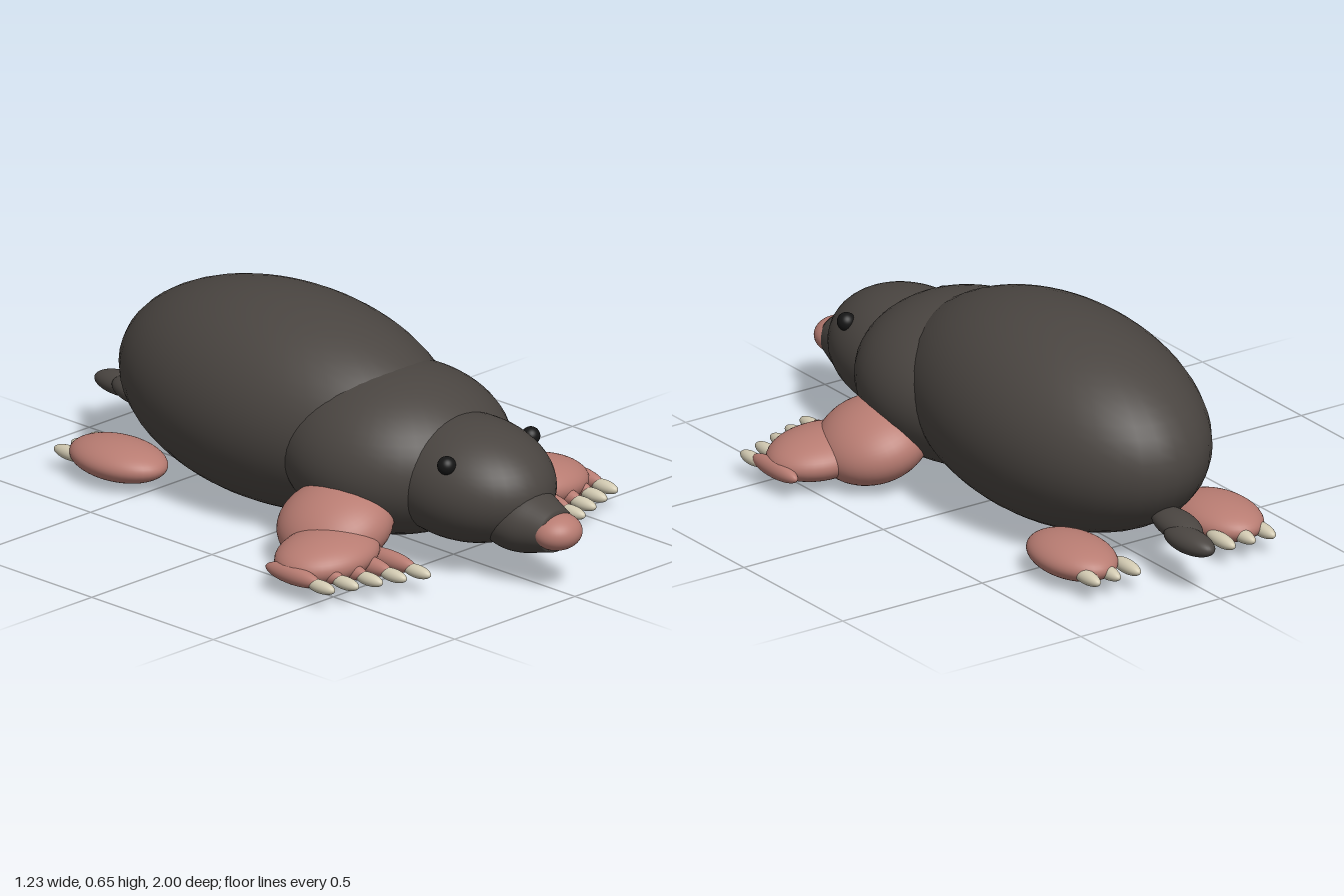
import * as THREE from 'three';

const material = (color) => new THREE.MeshStandardMaterial({ color });

export function createModel() {
  const model = new THREE.Group();
  const fur = material(0x4a4541);
  const skin = material(0xb87c72);
  const claw = material(0xd2cab2);
  const black = material(0x151515);

  // Smooth ellipsoid with centre, radii and optional rotation
  function ellipsoid(name, mat, pos, radii, rot = [0, 0, 0], parent = model) {
    const mesh = new THREE.Mesh(new THREE.SphereGeometry(1, 40, 28), mat);
    mesh.name = name;
    mesh.position.set(...pos);
    mesh.scale.set(...radii);
    mesh.rotation.set(...rot);
    parent.add(mesh);
    return mesh;
  }

  // Torso and head
  ellipsoid('body', fur, [0, 0.33, -0.18], [0.347, 0.325, 0.61]);
  ellipsoid('shoulders', fur, [0, 0.285, 0.26], [0.335, 0.25, 0.36]);
  ellipsoid('head', fur, [0, 0.265, 0.56], [0.22, 0.185, 0.295]);

  // Tapering snout, turned along z
  const profile = [[0, -0.14], [0.1, -0.12], [0.113, -0.05], [0.108, 0.01], [0.088, 0.07], [0.07, 0.12], [0, 0.13]];
  const curve = new THREE.SplineCurve(profile.slice(1, 6).map(([r, h]) => new THREE.Vector2(r, h)));
  const outline = [new THREE.Vector2(...profile[0]), ...curve.getPoints(16), new THREE.Vector2(...profile[6])];
  const snout = new THREE.Mesh(new THREE.LatheGeometry(outline, 40), fur);
  snout.name = 'snout';
  snout.position.set(0, 0.195, 0.81);
  snout.rotation.x = Math.PI / 2 + 0.05;
  snout.scale.z = 0.9;
  model.add(snout);
  ellipsoid('nose', skin, [0, 0.19, 0.925], [0.077, 0.055, 0.075]);

  // Tail in two overlapping lobes, bent to the left
  ellipsoid('tailBase', fur, [0.005, 0.17, -0.79], [0.055, 0.04, 0.12], [0, -0.1, 0]);
  ellipsoid('tailTip', fur, [0.036, 0.16, -0.895], [0.045, 0.037, 0.105], [0, 0.08, 0]);

  for (const s of [1, -1]) {
    const side = s > 0 ? 'left' : 'right';
    ellipsoid(side + 'Eye', black, [s * 0.175, 0.367, 0.645], [0.028, 0.028, 0.028]);

    // Digging arm: upper arm, broad palm and five clawed fingers
    const arm = new THREE.Group();
    arm.name = side + 'FrontLeg';
    model.add(arm);
    ellipsoid('upperArm', skin, [s * 0.31, 0.138, 0.32], [0.17, 0.112, 0.18], [0, 0, -s * 0.35], arm);
    ellipsoid('palm', skin, [s * 0.435, 0.1, 0.41], [0.17, 0.07, 0.14], [0, 0, -s * 0.08], arm);
    for (let i = 0; i < 5; i++) {
      const x = s * (0.299 + i * 0.0725);
      const tip = 0.7 - i * 0.027;
      ellipsoid('finger', skin, [x, 0.077, tip - 0.17], [0.027, 0.029, 0.11], [0, 0, 0], arm);
      ellipsoid('fingerClaw', claw, [x, 0.07, tip - 0.055], [0.02, 0.02, 0.055], [0, 0, 0], arm);
    }

    // Hind foot with three claws
    const foot = new THREE.Group();
    foot.name = side + 'HindFoot';
    model.add(foot);
    ellipsoid('sole', skin, [s * 0.262, 0.08, -0.62], [0.112, 0.06, 0.172], [0, 0, 0], foot);
    for (let i = 0; i < 3; i++) {
      ellipsoid('toeClaw', claw, [s * (0.17 + i * 0.072), 0.07, -0.765], [0.022, 0.022, 0.067], [0, 0, 0], foot);
    }
  }
  return model;
}
